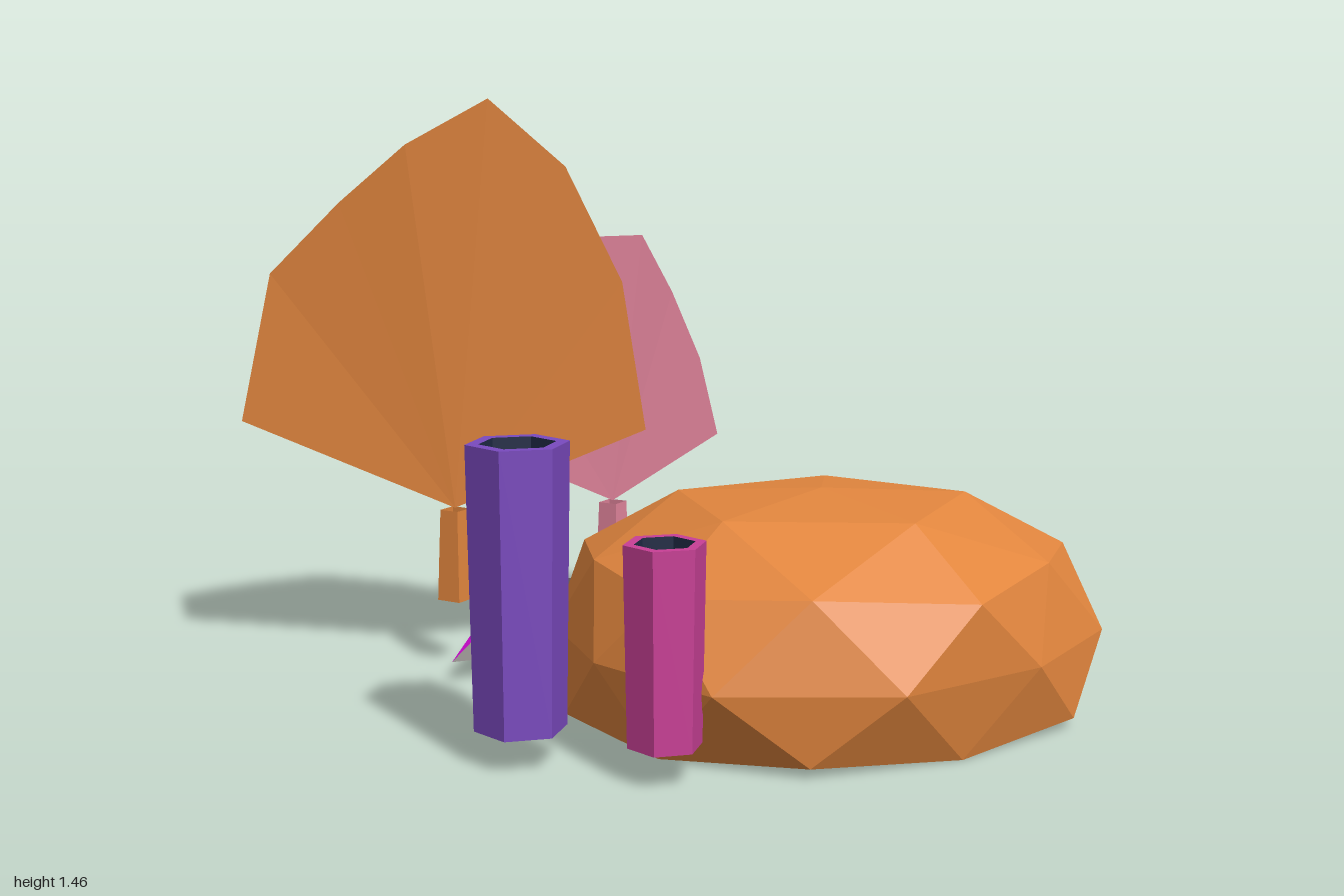
import * as THREE from 'three';

const mat = (name, color, side = THREE.FrontSide) => {
  const m = new THREE.MeshStandardMaterial({ color, flatShading: true, side });
  m.name = name;
  return m;
};

// Flat triangles from corner points and index triples
function facets(points, faces) {
  const g = new THREE.BufferGeometry();
  g.setAttribute('position', new THREE.Float32BufferAttribute(points.flat(), 3));
  g.setIndex(faces.flat());
  const flat = g.toNonIndexed();
  flat.computeVertexNormals();
  return flat;
}

// Hollow faceted dome: a subdivided icosahedron, squashed and left open below
function boulderGeometry() {
  const points = [[0.33, 0.545, 0.12]];
  const ring = (y, startDeg, radii) => radii.forEach((r, i) => {
    const a = THREE.MathUtils.degToRad(startDeg + i * 360 / radii.length);
    points.push([0.33 + 1.14 * r * Math.cos(a), y, 0.12 + r * Math.sin(a)]);
  });
  ring(0.517, 0, [0.325, 0.335, 0.325, 0.33, 0.3]);
  ring(0.4, 36, [0.5, 0.525, 0.49, 0.53, 0.5]);
  ring(0.375, 0, [0.557, 0.555, 0.52, 0.556, 0.55]);
  ring(0.2, 18, [0.605, 0.56, 0.592, 0.607, 0.55, 0.572, 0.56, 0.61, 0.62, 0.572]);
  ring(0.032, 36, [0.562, 0.55, 0.553, 0.55, 0.575]);
  ring(0.008, 0, [0.51, 0.505, 0.52, 0.51, 0.48]);

  const faces = [];
  for (let i = 0; i < 5; i++) {
    const next = (i + 1) % 5, prev = (i + 4) % 5;
    const a = 1 + i, a2 = 1 + next, u = 6 + i, v = 11 + i, v2 = 11 + next;
    const e0 = 16 + (2 * i + 9) % 10, e1 = 16 + 2 * i, e2 = e1 + 1;
    const l0 = 26 + prev, l = 26 + i, m = 31 + i;
    faces.push(
      [a2, a, 0], [u, v, a], [a2, u, a], [v2, u, a2],
      [u, e1, v], [e2, e1, u], [v2, e2, u], [e2, l, e1],
      [e1, e0, v], [m, l0, e0], [e1, m, e0], [l, m, e1],
    );
  }
  return facets(points, faces);
}

export function createModel() {
  const model = new THREE.Group();
  const orange = mat('orange', 0xe2863e, THREE.DoubleSide);
  const pink = mat('pink', 0xde8299, THREE.DoubleSide);
  const purple = mat('purple', 0x7a4abf, THREE.DoubleSide);
  const raspberry = mat('raspberry', 0xc84096, THREE.DoubleSide);
  const navy = mat('navy', 0x1f2a45, THREE.DoubleSide);
  const magenta = mat('magenta', 0xee0cf2);
  const charcoal = mat('charcoal', 0x57504a);
  const brown = mat('dark brown', 0x54402f);

  const add = (name, geometry, material, parent = model) => {
    const mesh = new THREE.Mesh(geometry, material);
    mesh.name = name;
    parent.add(mesh);
    return mesh;
  };

  add('boulder', boulderGeometry(), orange);

  // Hexagonal tube sponges, open below, with a dark hollow at the top
  function tube(name, x, z, top, rTop, rBottom, rHole, material) {
    const group = new THREE.Group();
    group.name = name;
    group.position.set(x, 0, z);
    const lathe = (pts) => new THREE.LatheGeometry(
      pts.map((p) => new THREE.Vector2(...p)), 6, Math.PI / 2);
    add('tubeWall', lathe([[rBottom, 0.088], [rTop, top], [rHole, top]]), material, group);
    add('tubeHollow', lathe([[rHole, top], [rHole, top - 0.05], [0, top - 0.05]]), navy, group);
    model.add(group);
  }
  tube('tallTube', -0.45, 0.373, 0.73, 0.116, 0.105, 0.086, purple);
  tube('shortTube', -0.17, 0.57, 0.535, 0.092, 0.084, 0.068, raspberry);

  // Fan corals: thin cupped blade fanning out from the top of an open square stem
  function fan(name, base, rim, material) {
    const group = new THREE.Group();
    group.name = name;
    const faces = rim.slice(1).map((_, i) => [0, i + 1, i + 2]);
    add('fanBlade', facets([base, ...rim], faces), material, group);
    const stem = add('fanStem',
      new THREE.CylinderGeometry(0.038, 0.048, 0.237, 4, 1, true), material, group);
    stem.position.set(base[0], base[1] - 0.122, base[2]);
    model.add(group);
  }
  fan('largeFan', [-0.475, 0.425, -0.435], [
    [0, 0.63, -0.308], [-0.06, 1.01, -0.308], [-0.2, 1.3, -0.325], [-0.39, 1.468, -0.345],
    [-0.59, 1.355, -0.4], [-0.75, 1.21, -0.47], [-0.92, 1.03, -0.543], [-1, 0.65, -0.578],
  ], orange);
  fan('smallFan', [-0.015, 0.383, -0.632], [
    [0.305, 0.54, -0.717], [0.245, 0.76, -0.685], [0.155, 0.95, -0.643], [0.06, 1.108, -0.592],
    [-0.06, 1.108, -0.565], [-0.16, 0.97, -0.556], [-0.25, 0.77, -0.553], [-0.305, 0.525, -0.555],
  ], pink);

  // Tilted shard: bright upper facets, dark front sides and a brown underside
  const shard = [
    [-0.28, 0.24, -0.39], [0.043, 0.18, -0.543], [-0.31, 0.17, -0.632],
    [-0.513, 0.064, -0.266], [-0.06, 0.062, -0.333], [-0.2, 0.062, -0.51],
  ];
  add('shardTop', facets(shard, [[0, 1, 2], [0, 2, 3]]), magenta);
  add('shardFront', facets(shard, [[0, 3, 4], [0, 4, 1]]), charcoal);
  add('shardUnderside', facets(shard, [[5, 2, 1], [5, 3, 2], [5, 4, 3], [5, 1, 4]]), brown);

  return model;
}
